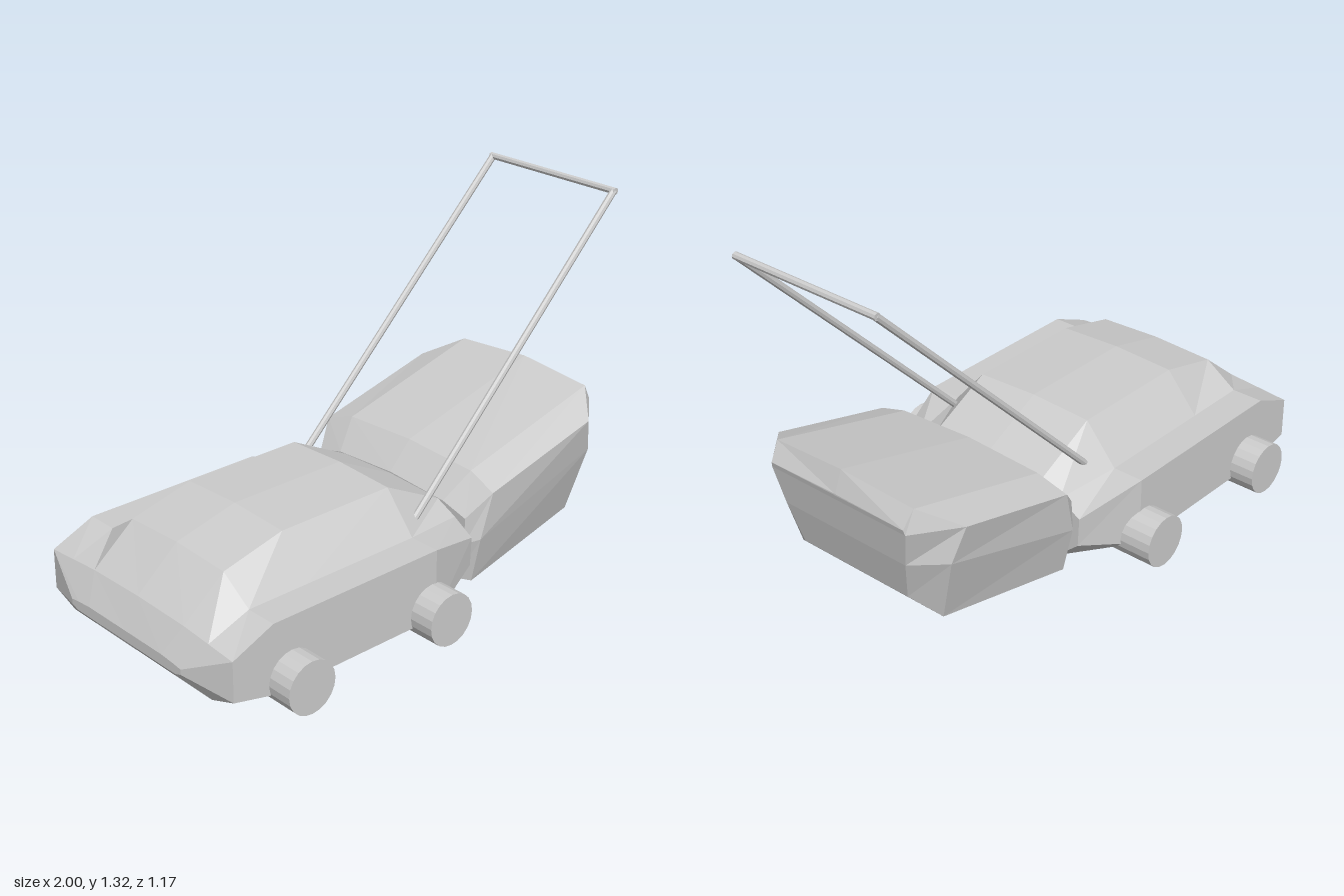
import * as THREE from 'three';

const material = new THREE.MeshStandardMaterial({ color: 0xcccccc, flatShading: true, side: THREE.DoubleSide });

// Lofts mirrored cross-sections along x. Each section lists [x, y, z] points
// of its +z half from the bottom corner up to the top centre.
function loft(name, sections) {
  const rings = sections.map((half) => [
    ...half,
    ...half.slice(0, -1).reverse().map(([x, y, z]) => [x, y, -z]),
  ]);
  const out = [];
  const quad = (a, b, c, d) => out.push(...a, ...b, ...c, ...a, ...c, ...d);
  const n = rings[0].length;
  for (let i = 0; i < rings.length - 1; i++) {
    for (let j = 0; j < n; j++) {
      const k = (j + 1) % n;
      quad(rings[i][j], rings[i + 1][j], rings[i + 1][k], rings[i][k]);
    }
  }
  // End caps, built as strips between mirrored points
  const first = rings[0], last = rings[rings.length - 1];
  for (let j = 0; j < sections[0].length - 1; j++) {
    quad(last[j], last[n - 1 - j], last[n - 2 - j], last[j + 1]);
    quad(first[j + 1], first[n - 2 - j], first[n - 1 - j], first[j]);
  }
  const geometry = new THREE.BufferGeometry();
  geometry.setAttribute('position', new THREE.Float32BufferAttribute(out, 3));
  geometry.computeVertexNormals();
  const mesh = new THREE.Mesh(geometry, material);
  mesh.name = name;
  return mesh;
}

// Round bar between two points
function bar(name, from, to, radius, sides) {
  const a = new THREE.Vector3(...from), b = new THREE.Vector3(...to);
  const dir = b.clone().sub(a);
  const mesh = new THREE.Mesh(new THREE.CylinderGeometry(radius, radius, dir.length(), sides), material);
  mesh.position.copy(a).add(b).multiplyScalar(0.5);
  mesh.quaternion.setFromUnitVectors(new THREE.Vector3(0, 1, 0), dir.normalize());
  mesh.name = name;
  return mesh;
}

export function createModel() {
  const model = new THREE.Group();
  model.name = 'lawnMower';

  // Deck: bottom corner, wall foot, wall top, cover foot, cover shoulder, top centre
  const deckSection = (x, pts) => pts.map(([y, z]) => [x, y, z]);
  const middle = (x, top) => deckSection(x, [
    [0.06, 0.46], [0.06, 0.49], [0.32, 0.49], [0.32, 0.37], [top - 0.01, 0.245], [top, 0],
  ]);
  model.add(loft('deck', [
    deckSection(-1, [[0.13, 0.27], [0.14, 0.3], [0.16, 0.3], [0.165, 0.26], [0.17, 0.2], [0.17, 0]]),
    deckSection(-0.94, [[0.06, 0.38], [0.1, 0.49], [0.25, 0.49], [0.26, 0.37], [0.27, 0.245], [0.275, 0]]),
    middle(-0.775, 0.415),
    middle(-0.53, 0.475),
    middle(-0.06, 0.475),
    deckSection(0.185, [[0.06, 0.32], [0.14, 0.41], [0.25, 0.415], [0.3, 0.33], [0.34, 0.245], [0.35, 0]]),
  ]));

  // Grass bag: bottom corner, side bend, shoulder, top edge, top centre
  model.add(loft('grassBag', [
    [[0.185, 0.06, 0.34], [0.185, 0.21, 0.38], [0.185, 0.31, 0.38], [0.185, 0.34, 0.27], [0.185, 0.355, 0]],
    [[0.225, 0.05, 0.38], [0.225, 0.23, 0.42], [0.27, 0.4, 0.43], [0.28, 0.44, 0.31], [0.28, 0.455, 0]],
    [[0.77, 0.135, 0.33], [0.8, 0.39, 0.4], [0.76, 0.525, 0.43], [0.87, 0.595, 0.31], [0.88, 0.615, 0]],
    [[0.84, 0.21, 0.24], [0.88, 0.37, 0.275], [0.905, 0.51, 0.305], [0.91, 0.53, 0.3], [0.91, 0.535, 0]],
  ]));

  // Full-width wheel rollers
  for (const [name, x] of [['frontWheels', -0.7], ['rearWheels', -0.08]]) {
    model.add(bar(name, [x, 0.1, -0.587], [x, 0.1, 0.587], 0.097, 20));
  }

  // Push handle
  const handle = new THREE.Group();
  handle.name = 'handle';
  for (const side of [-1, 1]) {
    handle.add(bar('handleRod', [0.015, 0.345, side * 0.305], [0.985, 1.31, side * 0.296], 0.013, 8));
  }
  handle.add(bar('handleGrip', [0.985, 1.31, -0.306], [0.985, 1.31, 0.306], 0.013, 8));
  model.add(handle);

  return model;
}
